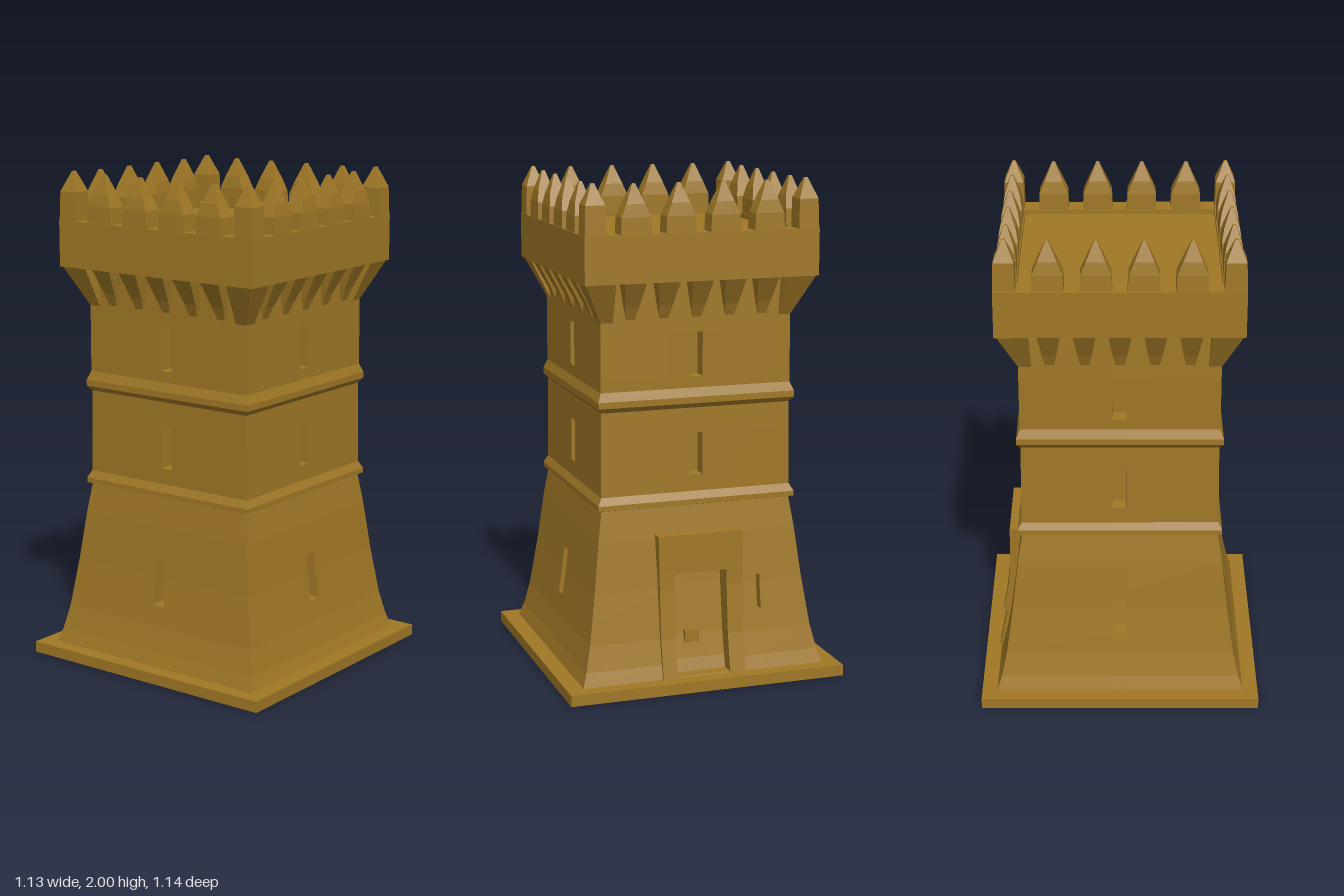
import * as THREE from 'three';

const stone = new THREE.MeshStandardMaterial({ color: 0xa07826 });
stone.name = 'ochre stone';

// Half width of the tower at each height: flared foot, two string courses
const PROFILE = [
  [0.03, 0.508], [0.1, 0.485], [0.2, 0.463], [0.4, 0.434], [0.6, 0.41], [0.72, 0.392],
  [0.725, 0.408], [0.745, 0.408], [0.775, 0.393], [1.11, 0.389], [1.13, 0.405],
  [1.155, 0.405], [1.19, 0.391], [1.7, 0.39],
];

function halfAt(y) {
  for (let i = 1; i < PROFILE.length; i++) {
    const [y0, h0] = PROFILE[i - 1], [y1, h1] = PROFILE[i];
    if (y <= y1) return h0 + (h1 - h0) * (y - y0) / (y1 - y0);
  }
  return PROFILE[PROFILE.length - 1][1];
}

function quadGeometry(quads) {
  const pos = [];
  for (const [a, b, c, d] of quads) pos.push(...a, ...b, ...c, ...a, ...c, ...d);
  const g = new THREE.BufferGeometry();
  g.setAttribute('position', new THREE.Float32BufferAttribute(pos, 3));
  g.computeVertexNormals();
  return g;
}

function add(parent, geometry, name, x = 0, y = 0, z = 0) {
  const mesh = new THREE.Mesh(geometry, stone);
  mesh.name = name;
  mesh.position.set(x, y, z);
  parent.add(mesh);
  return mesh;
}

// Solid through stacked rectangles [y, x0, x1, z0, z1]
function loft(sections) {
  const rings = sections.map(([y, x0, x1, z0, z1]) =>
    [[x0, y, z1], [x1, y, z1], [x1, y, z0], [x0, y, z0]]);
  const quads = [];
  for (let i = 1; i < rings.length; i++) {
    for (let k = 0; k < 4; k++) {
      const n = (k + 1) % 4;
      quads.push([rings[i - 1][k], rings[i - 1][n], rings[i][n], rings[i][k]]);
    }
  }
  quads.push(rings[rings.length - 1], [...rings[0]].reverse());
  return quadGeometry(quads);
}

// One tower face looking along +z, with recessed openings {x0, x1, y0, y1, depth}
function wallGeometry(openings) {
  const sorted = list => [...new Set(list)].sort((a, b) => a - b);
  const ys = sorted([...PROFILE.map(p => p[0]), ...openings.flatMap(o => [o.y0, o.y1])]);
  const xs = [-9, ...sorted(openings.flatMap(o => [o.x0, o.x1])), 9];
  const point = (x, y, depth = 0) => {
    const h = halfAt(y);
    return [THREE.MathUtils.clamp(x, -h, h), y, h - depth];
  };
  const openingAt = (i, j) => {
    const x = (xs[i] + xs[i + 1]) / 2, y = (ys[j] + ys[j + 1]) / 2;
    return openings.find(o => x > o.x0 && x < o.x1 && y > o.y0 && y < o.y1);
  };
  const quads = [];
  for (let j = 0; j < ys.length - 1; j++) {
    for (let i = 0; i < xs.length - 1; i++) {
      const o = openingAt(i, j), d = o ? o.depth : 0;
      const corners = [[xs[i], ys[j]], [xs[i + 1], ys[j]], [xs[i + 1], ys[j + 1]], [xs[i], ys[j + 1]]];
      quads.push(corners.map(c => point(...c, d)));
      if (!o) continue;
      // Sill, jambs and head wherever the opening ends
      [[0, -1], [1, 0], [0, 1], [-1, 0]].forEach(([di, dj], k) => {
        if (openingAt(i + di, j + dj) === o) return;
        const a = corners[k], b = corners[(k + 1) % 4];
        quads.push([point(...a), point(...b), point(...b, d), point(...a, d)]);
      });
    }
  }
  return quadGeometry(quads);
}

const slit = (x0, x1, y0, y1) => ({ x0, x1, y0, y1, depth: 0.06 });

export function createModel() {
  const tower = new THREE.Group();
  tower.name = 'tower';

  // Base slab
  add(tower, new THREE.BoxGeometry(1.13, 0.045, 1.14), 'plinth', 0, 0.0225, 0);

  // Four walls with arrow slits; the left wall holds the door
  const upper = [slit(-0.03, 0.025, 0.84, 1.01), slit(-0.03, 0.025, 1.235, 1.41)];
  const plainWall = wallGeometry([...upper, slit(-0.03, 0.025, 0.285, 0.47)]);
  const doorWall = wallGeometry([...upper, slit(0.24, 0.255, 0.28, 0.42),
    { x0: -0.115, x1: 0.105, y0: 0.05, y1: 0.46, depth: 0.05 }]);

  // Corbel and merlon placement along a side
  const corbelXs = [-0.27, -0.135, 0, 0.135, 0.27];
  const corbel = loft([[1.47, -0.018, 0.018, 0.36, 0.392], [1.52, -0.028, 0.028, 0.36, 0.413],
    [1.63, -0.045, 0.045, 0.36, 0.472]]);
  const cornerCorbel = loft([[1.46, 0.34, 0.39, 0.34, 0.39], [1.63, 0.35, 0.472, 0.35, 0.472]]);
  const merlonXs = [-0.27, -0.09, 0.09, 0.27];
  const merlon = loft([[1.79, -0.062, 0.062, 0.392, 0.472], [1.87, -0.058, 0.058, 0.392, 0.47],
    [1.92, -0.037, 0.037, 0.4, 0.462], [1.995, -0.006, 0.006, 0.425, 0.437]]);
  const cornerMerlon = loft([[1.79, 0.39, 0.474, 0.39, 0.474], [1.92, 0.392, 0.47, 0.392, 0.47],
    [2, 0.425, 0.437, 0.425, 0.437]]);

  ['front', 'left', 'back', 'right'].forEach((name, k) => {
    const side = new THREE.Group();
    side.name = name + 'Side';
    side.rotation.y = k * Math.PI / 2;
    add(side, k === 1 ? doorWall : plainWall, 'wall');
    corbelXs.forEach(x => add(side, corbel, 'corbel', x));
    add(side, cornerCorbel, 'cornerCorbel');
    merlonXs.forEach(x => add(side, merlon, 'merlon', x));
    add(side, cornerMerlon, 'cornerMerlon');
    tower.add(side);
  });

  // Door surround: sloping posts and a lintel standing proud of the left wall
  const door = new THREE.Group();
  door.name = 'doorway';
  door.rotation.y = Math.PI / 2;
  const post = (x0, x1) => loft([[0.04, x0, x1, 0.4, 0.511], [0.2, x0, x1, 0.4, 0.478],
    [0.4, x0, x1, 0.4, 0.46], [0.47, x0, x1, 0.38, 0.458]]);
  add(door, post(-0.175, -0.115), 'doorPost');
  add(door, post(0.105, 0.172), 'doorPost');
  add(door, loft([[0.46, -0.175, 0.172, 0.38, 0.458], [0.615, -0.178, 0.175, 0.38, 0.455]]), 'lintel');
  add(door, new THREE.BoxGeometry(0.06, 0.05, 0.03), 'doorLatch', -0.03, 0.19, 0.42);
  tower.add(door);

  // Overhanging parapet ring and the roof deck inside it
  const square = (h, Type) => new Type([[-h, -h], [h, -h], [h, h], [-h, h]]
    .map(p => new THREE.Vector2(...p)));
  const ring = square(0.475, THREE.Shape);
  ring.holes.push(square(0.388, THREE.Path));
  const parapet = new THREE.ExtrudeGeometry(ring, { depth: 0.185, bevelEnabled: false });
  parapet.rotateX(-Math.PI / 2);
  add(tower, parapet, 'parapet', 0, 1.62, 0);
  add(tower, new THREE.BoxGeometry(0.78, 0.1, 0.78), 'roofDeck', 0, 1.735, 0);

  return tower;
}
